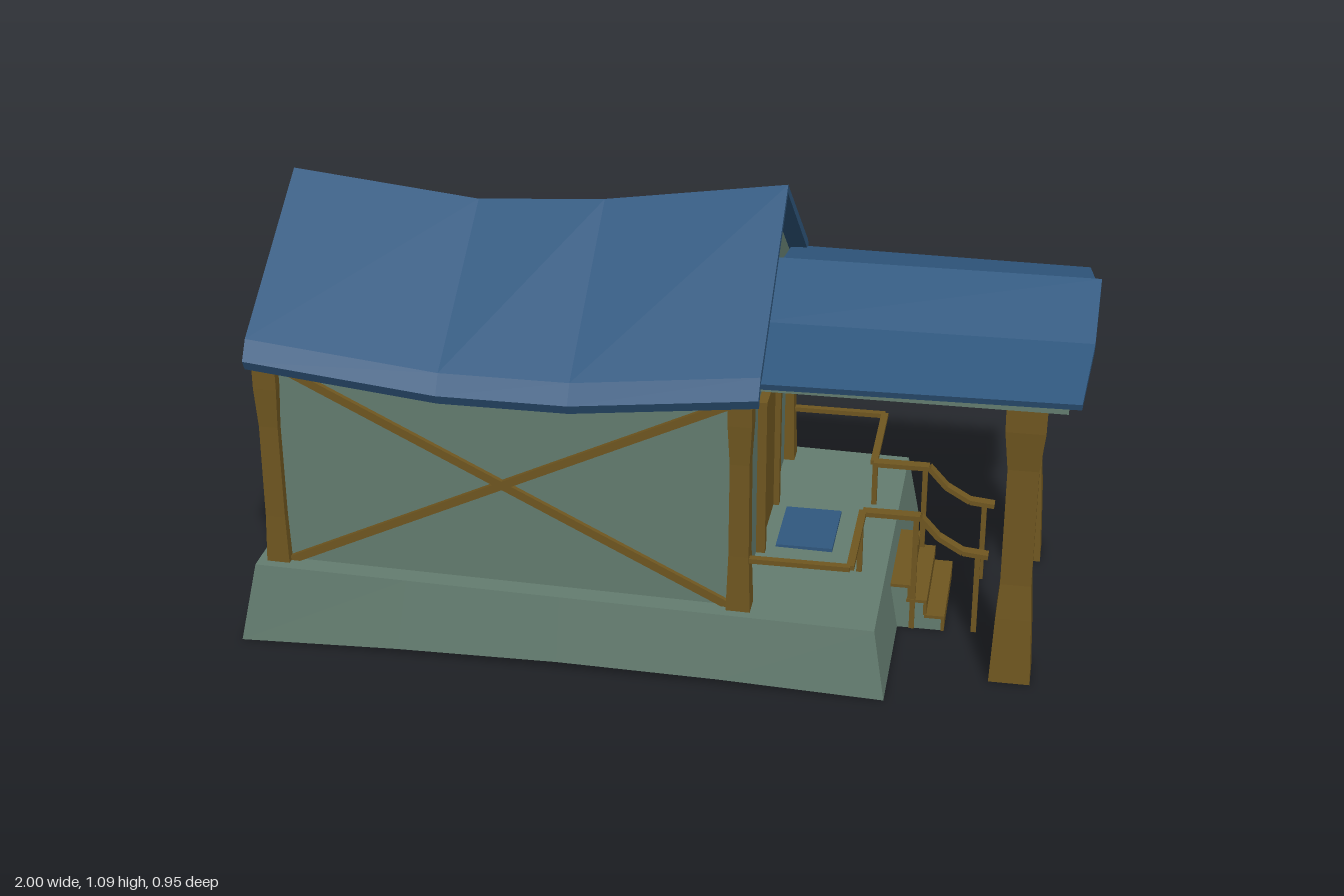
import * as THREE from 'three';

const mat = (name, color) => new THREE.MeshStandardMaterial({ name, color, side: THREE.DoubleSide });

export function createModel() {
  const root = new THREE.Group();
  root.name = 'cabin';
  const green = mat('sage plaster', 0x647d70);
  const wood = mat('brown timber', 0x705720);
  const blue = mat('blue roofing', 0x30587f);

  const add = (name, geo, material, parent = root) => {
    const m = new THREE.Mesh(geo, material);
    m.name = name;
    parent.add(m);
    return m;
  };
  const box = (name, material, x0, x1, y0, y1, z0, z1) => {
    const m = add(name, new THREE.BoxGeometry(x1 - x0, y1 - y0, z1 - z0), material);
    m.position.set((x0 + x1) / 2, (y0 + y1) / 2, (z0 + z1) / 2);
    return m;
  };
  // Flat-shaded surface from four-cornered faces
  const quads = (name, material, list) => {
    const pos = list.flatMap(([a, b, c, d]) => [a, b, c, a, c, d].flat());
    const g = new THREE.BufferGeometry();
    g.setAttribute('position', new THREE.Float32BufferAttribute(pos, 3));
    g.computeVertexNormals();
    return add(name, g, material);
  };
  // Skin over equal rings; each ring is an outer line followed by the inner line reversed
  const loft = (name, material, rings) => {
    const list = [], n = rings[0].length, last = rings[rings.length - 1];
    for (let k = 0; k < rings.length - 1; k++)
      for (let i = 0; i < n; i++) {
        const j = (i + 1) % n;
        list.push([rings[k][i], rings[k][j], rings[k + 1][j], rings[k + 1][i]]);
      }
    for (let i = 0; i < n / 2 - 1; i++) {
      const q = [i, n - 1 - i, n - 2 - i, i + 1];
      list.push(q.map(p => rings[0][p]), q.reverse().map(p => last[p]));
    }
    return quads(name, material, list);
  };
  // Square timber between two points
  const bar = (name, a, b, w, t = w) => {
    const p = new THREE.Vector3(...a), q = new THREE.Vector3(...b);
    const m = add(name, new THREE.BoxGeometry(w, t, p.distanceTo(q)), wood);
    m.position.copy(p).add(q).multiplyScalar(0.5);
    m.lookAt(q);
    return m;
  };
  // Square post with a pinched middle; profile rows are [half width, y]
  const post = (name, x, z, profile) => {
    const pts = [[0, profile[0][1]], ...profile, [0, profile[profile.length - 1][1]]]
      .map(([h, y]) => new THREE.Vector2(h * Math.SQRT2, y));
    const g = new THREE.LatheGeometry(pts, 4).rotateY(Math.PI / 4).toNonIndexed();
    g.computeVertexNormals();
    add(name, g, wood).position.set(x, 0, z);
  };
  // Upright panel across the building, outline given as [z, y]
  const panel = (name, material, x, t, outline) => {
    const s = new THREE.Shape(outline.map(([z, y]) => new THREE.Vector2(-z, y)));
    const g = new THREE.ExtrudeGeometry(s, { depth: t, bevelEnabled: false });
    add(name, g.rotateY(Math.PI / 2), material).position.x = x;
  };

  // Foundation: sloping hollow skirt with arched lower edge, rim and porch floor
  const topY = x => 0.2 - 0.02 * (x + 0.96);
  const skirt = [], N = 4;
  const foot = (i, s) => [-1 + 1.57 * i / N, 0.02 * Math.sin(Math.PI * i / N), 0.475 * s];
  const top = (x, z) => [x, topY(x), z];
  const head = (i, s) => top(-0.96 + 1.5 * i / N, 0.45 * s);
  for (let i = 0; i < N; i++) {
    skirt.push([foot(i, 1), foot(i + 1, 1), head(i + 1, 1), head(i, 1)]);
    skirt.push([foot(i + 1, -1), foot(i, -1), head(i, -1), head(i + 1, -1)]);
  }
  skirt.push([foot(0, -1), foot(0, 1), head(0, 1), head(0, -1)]);
  skirt.push([foot(N, 1), foot(N, -1), head(N, -1), head(N, 1)]);
  quads('foundation', green, skirt);
  const flat = (x0, x1, z0, z1) => [top(x0, z1), top(x1, z1), top(x1, z0), top(x0, z0)];
  quads('foundationTop', green, [
    flat(-0.96, -0.9, -0.45, 0.45), flat(0.2, 0.54, -0.45, 0.45),
    flat(-0.9, 0.2, 0.39, 0.45), flat(-0.9, 0.2, -0.45, -0.39)]);

  // Walls
  for (const s of [1, -1])
    quads('sideWall', green, [[[-0.91, 0.18, 0.4 * s], [0.215, 0.17, 0.4 * s], [0.215, 0.705, 0.4 * s], [-0.91, 0.705, 0.4 * s]]
      ].map(q => s > 0 ? q : q.reverse()));
  const gable = (base, peak) => [[0.4, base], [0.4, 0.765 - (1.065 - peak) * 0.8], [0, peak],
    [-0.4, 0.765 - (1.065 - peak) * 0.8], [-0.4, base]];
  panel('frontWall', green, 0.21, 0.006, gable(0.17, 1.06));
  panel('backWall', green, -0.913, 0.006, gable(0.19, 1.025));

  // Main roof: sagging ridge and eaves; rows are [x, ridge y, eave bottom y]
  const mainRings = [[-0.95, 1.055, 0.715], [-0.49, 1.005, 0.665], [-0.18, 1.025, 0.665], [0.26, 1.09, 0.715]]
    .map(([x, r, e]) => {
      const outer = [[0.45, e + 0.025], [0.42, e + 0.07], [0, r], [-0.42, e + 0.07], [-0.45, e + 0.025]];
      const inner = [[-0.437, e], [-0.415, e + 0.045], [0, r - 0.022], [0.415, e + 0.045], [0.437, e]];
      return [...outer, ...inner].map(([z, y]) => [x, y, z]);
    });
  loft('mainRoof', blue, mainRings);

  // Porch roof: two-pitch shell with a bowed outer edge
  const half = [[0.42, 0.768, 0.975], [0.18, 0.815, 0.995], [0, 0.905, 1]];
  const line = [...half, ...half.slice(0, 2).reverse().map(([z, y, x]) => [-z, y, x])];
  const drop = [0.016, 0.02, 0.03, 0.02, 0.016];
  const under = line.map(([z, y, x], i) => [z * 0.985, y - drop[i], x]).reverse();
  const porchRing = [...line, ...under];
  loft('porchRoof', blue, [
    porchRing.map(([z, y]) => [0.22, y, z]),
    porchRing.map(([z, y, x]) => [x, y, z * 0.955])]);

  // Porch gable and side beams
  panel('porchGable', green, 0.935, 0.012, [[0.385, 0.735], [0.385, 0.753], [0.18, 0.797], [0, 0.878],
    [-0.18, 0.797], [-0.385, 0.753], [-0.385, 0.735]]);
  for (const s of [1, -1]) {
    const beam = box('porchBeam', green, 0.215, 0.947, 0.735, 0.757, -0.012, 0.012);
    beam.position.z = 0.375 * s;
  }

  // Posts
  for (const s of [1, -1]) {
    post('porchPost', 0.855, 0.3 * s, [[0.049, 0], [0.042, 0.17], [0.036, 0.26], [0.036, 0.56], [0.046, 0.66], [0.047, 0.737]]);
    for (const x of [-0.91, 0.215])
      post('cornerPost', x, 0.398 * s, [[0.029, 0.17], [0.024, 0.32], [0.023, 0.56], [0.028, 0.66], [0.028, 0.725]]);
    // Crossed braces on the long walls
    bar('sideBrace', [-0.89, 0.72, 0.402 * s], [0.2, 0.175, 0.402 * s], 0.02);
    bar('sideBrace', [-0.89, 0.195, 0.402 * s], [0.2, 0.71, 0.402 * s], 0.02);
    // Crossed braces on the back wall
    bar('backBrace', [-0.912, 0.2, 0.39 * s], [-0.912, 0.71, -0.39 * s], 0.022);
  }

  // Door with frame and mat
  box('door', wood, 0.21, 0.224, 0.165, 0.56, -0.118, 0.118);
  for (const s of [1, -1])
    box('doorJamb', wood, 0.205, 0.238, 0.165, 0.585, -0.0125, 0.0125).position.z = 0.126 * s;
  box('doorLintel', wood, 0.205, 0.238, 0.555, 0.585, -0.138, 0.138);
  box('doorMat', blue, 0.26, 0.4, 0.17, 0.182, -0.1, 0.1);

  // Steps: plaster core faced with timber
  [[0.6, 0.122], [0.64, 0.083], [0.685, 0.042]].forEach(([x, y], i) => {
    box('stepCore', green, 0.53, x - 0.006, i ? 0 : 0.03, y - 0.006, -0.135, 0.135);
    box('stepTread', wood, x - 0.05, x, y - 0.008, y, -0.14, 0.14);
    box('stepRiser', wood, x - 0.008, x, y - 0.042, y - 0.008, -0.138, 0.138);
  });

  // Railings
  for (const s of [1, -1]) {
    const path = [[0.23, 0.31, 0.41], [0.475, 0.31, 0.41], [0.475, 0.31, 0.132], [0.615, 0.31, 0.132],
      [0.66, 0.26, 0.132], [0.72, 0.225, 0.132], [0.782, 0.219, 0.132]].map(([x, y, z]) => [x, y, z * s]);
    for (let i = 0; i < path.length - 1; i++)
      bar('handrail', path[i], path[i + 1], i > 1 ? 0.027 : 0.018, 0.012);
    bar('railPost', [0.475, 0.165, 0.175 * s], [0.475, 0.31, 0.175 * s], 0.013);
    bar('railPost', [0.605, 0, 0.132 * s], [0.605, 0.31, 0.132 * s], 0.013);
    bar('railPost', [0.757, 0.005, 0.132 * s], [0.757, 0.22, 0.132 * s], 0.013);
  }
  return root;
}
